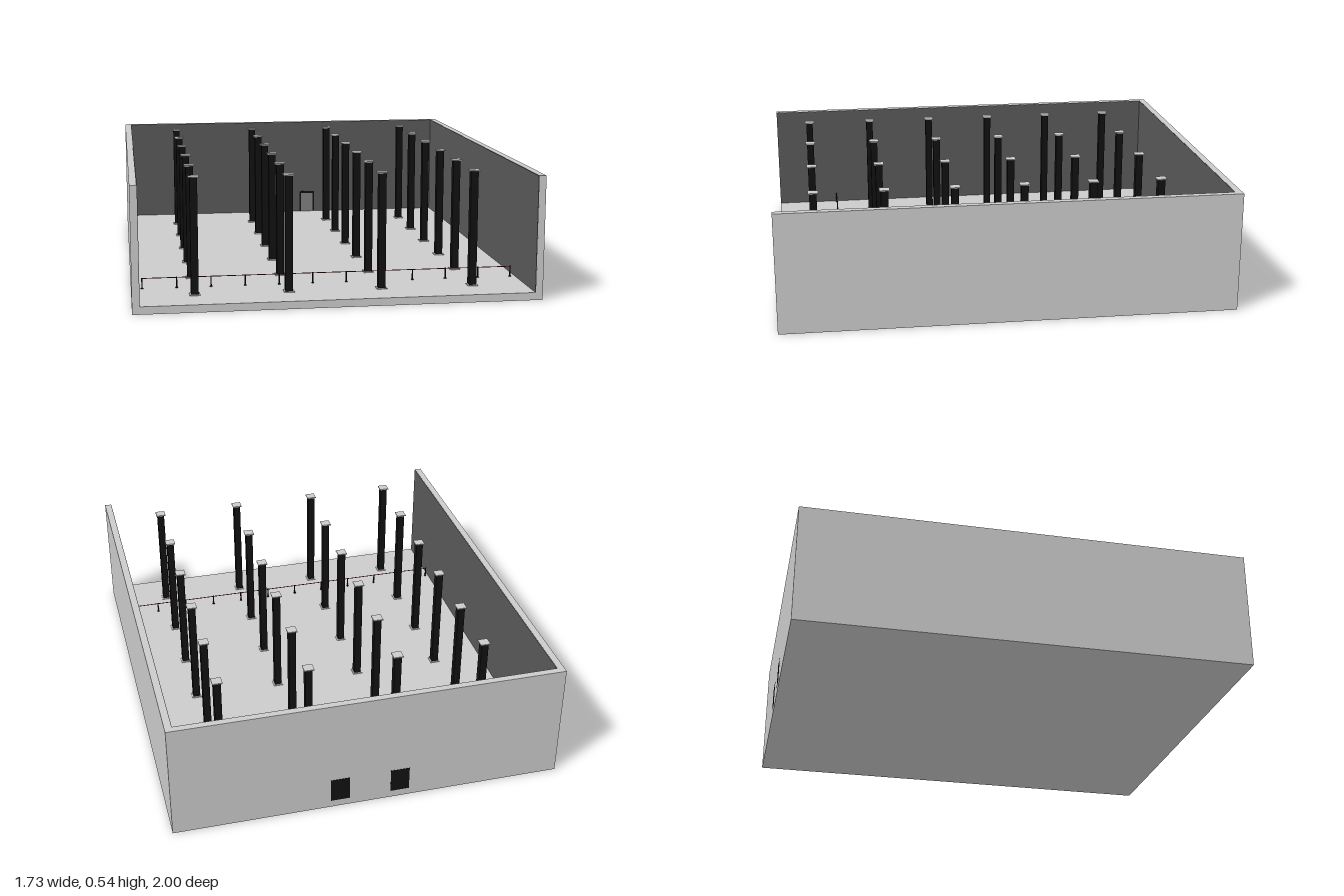
import * as THREE from 'three';

const mat = (color) => new THREE.MeshStandardMaterial({ color });

export function createModel() {
  const model = new THREE.Group();
  const grey = mat(0xcccccc), dark = mat(0x595959), black = mat(0x111111);
  const pane = mat(0x808080), red = mat(0x7a2020);

  // Box given by its extents along each axis
  const box = (name, [x0, x1], [y0, y1], [z0, z1], material, parent = model) => {
    const mesh = new THREE.Mesh(new THREE.BoxGeometry(x1 - x0, y1 - y0, z1 - z0), material);
    mesh.position.set((x0 + x1) / 2, (y0 + y1) / 2, (z0 + z1) / 2);
    mesh.name = name;
    parent.add(mesh);
    return mesh;
  };

  const W = 0.865, T = 0.03, H = 0.535, F = 0.033, IN = W - T, BACK = -1 + T;

  // Open-fronted hall: floor slab and three walls
  box('floor', [-W, W], [0, F], [-1, 1], grey);
  box('backWall', [-W, W], [F, H], [-1, BACK], grey);
  box('leftWall', [IN, W], [F, H], [BACK, 1], grey);
  box('rightWall', [-W, -IN], [F, H], [BACK, 1], grey);

  // Dark lining on the inner wall faces
  const L = 0.002, top = H - 0.001;
  box('backLining', [-IN, IN], [F, top], [BACK, BACK + L], dark);
  box('leftLining', [IN - L, IN], [F, top], [BACK, 0.999], dark);
  box('rightLining', [-IN, -IN + L], [F, top], [BACK, 0.999], dark);

  // Two doors through the back wall; the left one is framed around a lighter panel
  const doorFront = BACK + 0.004;
  box('rightDoor', [-0.178, -0.094], [F, 0.145], [-1.001, doorFront], black);
  box('leftDoor', [0.09, 0.174], [F, 0.145], [-1.001, doorFront], black);
  box('leftDoorPanel', [0.1, 0.164], [F, 0.135], [BACK, doorFront + 0.001], pane);

  // Grid of square columns with thin base and cap plates
  for (let row = 0; row < 6; row++) {
    for (let col = 0; col < 4; col++) {
      const column = new THREE.Group();
      column.name = 'column';
      column.position.set(-0.6 + col * 0.4, 0, -0.705 + row * 0.307);
      const s = 0.016, p = 0.0225;
      box('columnShaft', [-s, s], [F, H], [-s, s], black, column);
      box('columnBase', [-p, p], [F, F + 0.004], [-p, p], grey, column);
      box('columnCap', [-p, p], [H - 0.001, H + 0.004], [-p, p], grey, column);
      model.add(column);
    }
  }

  // Barrier: slim posts joined by a thin rope
  const barrier = new THREE.Group();
  barrier.name = 'barrier';
  barrier.position.z = 0.7;
  const postHeight = 0.048, first = -0.818, step = 0.148;
  for (let i = 0; i < 12; i++) {
    const x = first + i * step;
    const post = new THREE.Mesh(new THREE.CylinderGeometry(0.003, 0.003, postHeight, 10), black);
    post.name = 'barrierPost';
    post.position.set(x, F + postHeight / 2, 0);
    const foot = new THREE.Mesh(new THREE.CylinderGeometry(0.006, 0.006, 0.003, 12), black);
    foot.name = 'barrierFoot';
    foot.position.set(x, F + 0.0015, 0);
    barrier.add(post, foot);
  }
  box('barrierRope', [first, first + 11 * step], [0.077, 0.08], [-0.0012, 0.0012], red, barrier);
  model.add(barrier);

  return model;
}
